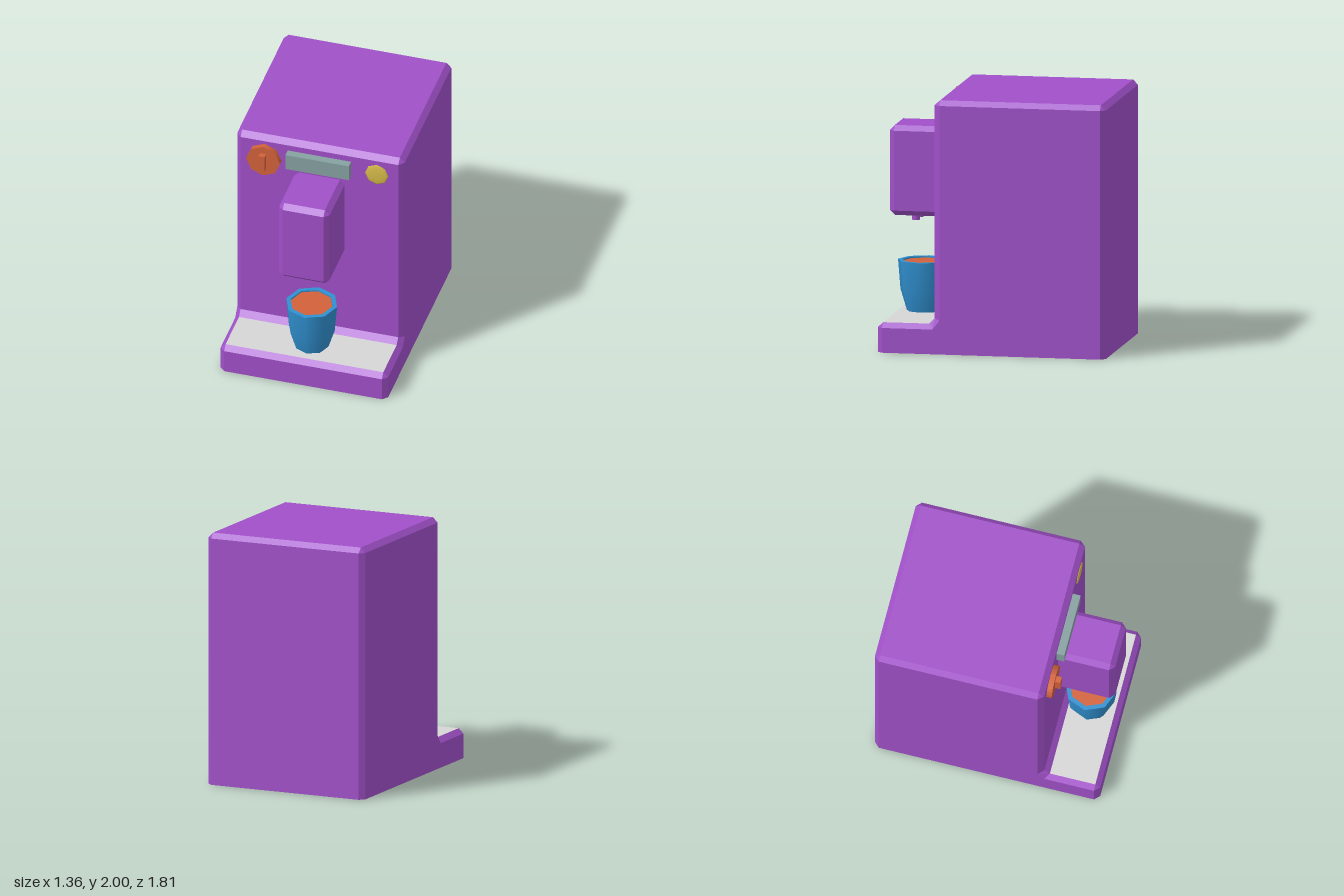
import * as THREE from 'three';
import { ConvexGeometry } from 'three/addons/geometries/ConvexGeometry.js';

const mat = (name, color, extra = {}) => new THREE.MeshStandardMaterial({ name, color, ...extra });

// Flat strips joining matching points of neighbouring cross-sections [x, [[z, y], ...]]
function loft(sections, keep) {
  const pos = [];
  for (let s = 0; s < sections.length - 1; s++) {
    const [xa, A] = sections[s], [xb, B] = sections[s + 1];
    for (let i = 0; i < A.length - 1; i++) {
      if (!keep(s, i)) continue;
      const p = (x, q) => [x, q[1], q[0]];
      const a = p(xa, A[i]), b = p(xb, B[i]), c = p(xb, B[i + 1]), d = p(xa, A[i + 1]);
      pos.push(...a, ...c, ...b, ...a, ...d, ...c);
    }
  }
  const g = new THREE.BufferGeometry();
  g.setAttribute('position', new THREE.Float32BufferAttribute(pos, 3));
  // drop the collapsed triangles at the chamfered corners
  const keepPos = [];
  for (let i = 0; i < pos.length; i += 9) {
    const t = new THREE.Triangle(...[0, 3, 6].map(k => new THREE.Vector3().fromArray(pos, i + k)));
    if (t.getArea() > 1e-7) keepPos.push(...pos.slice(i, i + 9));
  }
  g.setAttribute('position', new THREE.Float32BufferAttribute(keepPos, 3));
  g.computeVertexNormals();
  return g;
}

export function createModel() {
  const model = new THREE.Group();
  const purple = mat('purple casing', 0xa050c8, { side: THREE.DoubleSide });
  const grey = mat('light grey tray', 0xd6d6d6, { side: THREE.DoubleSide });
  const blue = mat('blue cup', 0x3090d0, { side: THREE.DoubleSide });
  const orange = mat('orange', 0xd2613a);
  const gold = mat('gold button', 0xd6bb4a);
  const slate = mat('slate display', 0x86a0a0);

  const add = (name, geo, material, x = 0, y = 0, z = 0, parent = model) => {
    const m = new THREE.Mesh(geo, material);
    m.name = name;
    m.position.set(x, y, z);
    parent.add(m);
    return m;
  };

  // Casing: L-shaped profile with chamfered edges, open underneath
  const full = [[-.905, 0], [-.905, 1.96], [-.865, 2], [.41, 2], [.455, 1.96], [.455, .28],
    [.5, .235], [.865, .235], [.905, .195], [.905, 0]];
  const side = [[-.865, 0], [-.865, 1.96], [-.865, 1.96], [.41, 1.96], [.41, 1.96], [.41, .265],
    [.465, .195], [.865, .195], [.865, .195], [.865, 0]];
  const sections = [[-.68, side], [-.64, full], [.64, full], [.68, side]];
  const isTray = (s, i) => s === 1 && i === 6;
  const casing = new THREE.Group();
  casing.name = 'casing';
  model.add(casing);
  add('casingShell', loft(sections, (s, i) => !isTray(s, i)), purple, 0, 0, 0, casing);
  add('dripTray', loft(sections, isTray), grey, 0, 0, 0, casing);
  for (const sx of [-1, 1]) {
    const outline = side.filter((p, i) => ![2, 4, 8].includes(i));
    const shape = new THREE.Shape(outline.map(([z, y]) => new THREE.Vector2(-sx * z, y)));
    add(sx > 0 ? 'leftPanel' : 'rightPanel',
      new THREE.ShapeGeometry(shape).rotateY(sx * Math.PI / 2), purple, sx * .68, 0, 0, casing);
  }

  // Brew head: block with chamfered edges, flat against the wall
  const pts = [];
  const c = .04, w = .205, h = .355, front = .905;
  for (const sx of [-1, 1]) for (const sy of [-1, 1]) {
    for (const z of [.455, front - c]) {
      pts.push(new THREE.Vector3(sx * w, sy * (h - c), z), new THREE.Vector3(sx * (w - c), sy * h, z));
    }
    pts.push(new THREE.Vector3(sx * (w - c), sy * (h - c), front));
  }
  add('brewHead', new ConvexGeometry(pts), purple, 0, 1.36, 0);
  for (const x of [-.077, .077]) {
    add('nozzle', new THREE.CylinderGeometry(.033, .033, .06, 8), purple, x, .99, .715);
  }

  // Controls
  const knob = new THREE.Group();
  knob.name = 'knob';
  knob.position.set(-.445, 1.797, 0);
  model.add(knob);
  add('knobDial', new THREE.CylinderGeometry(.138, .138, .06, 8).rotateX(Math.PI / 2), orange, 0, 0, .468, knob);
  add('knobGrip', new THREE.BoxGeometry(.05, .14, .05), orange, 0, .003, .515, knob);
  add('display', new THREE.BoxGeometry(.515, .135, .07), slate, 0, 1.843, .483);
  add('button', new THREE.SphereGeometry(.095, 8, 6).rotateX(Math.PI / 2).scale(1, 1, .12), gold, .465, 1.83, .455);

  // Cup with drink
  const cup = new THREE.Group();
  cup.name = 'cup';
  cup.position.set(0, 0, .667);
  model.add(cup);
  const v = (r, y) => new THREE.Vector2(r, y);
  add('cupWall', new THREE.LatheGeometry([v(.135, .23), v(.187, .4), v(.206, .634)], 8), blue, 0, 0, 0, cup);
  add('cupRim', new THREE.LatheGeometry([v(.206, .634), v(.17, .634)], 8), blue, 0, 0, 0, cup);
  add('cupLip', new THREE.LatheGeometry([v(.17, .634), v(.168, .61)], 8), blue, 0, 0, 0, cup);
  add('drink', new THREE.CircleGeometry(.17, 8).rotateX(-Math.PI / 2), orange, 0, .622, 0, cup);

  return model;
}
